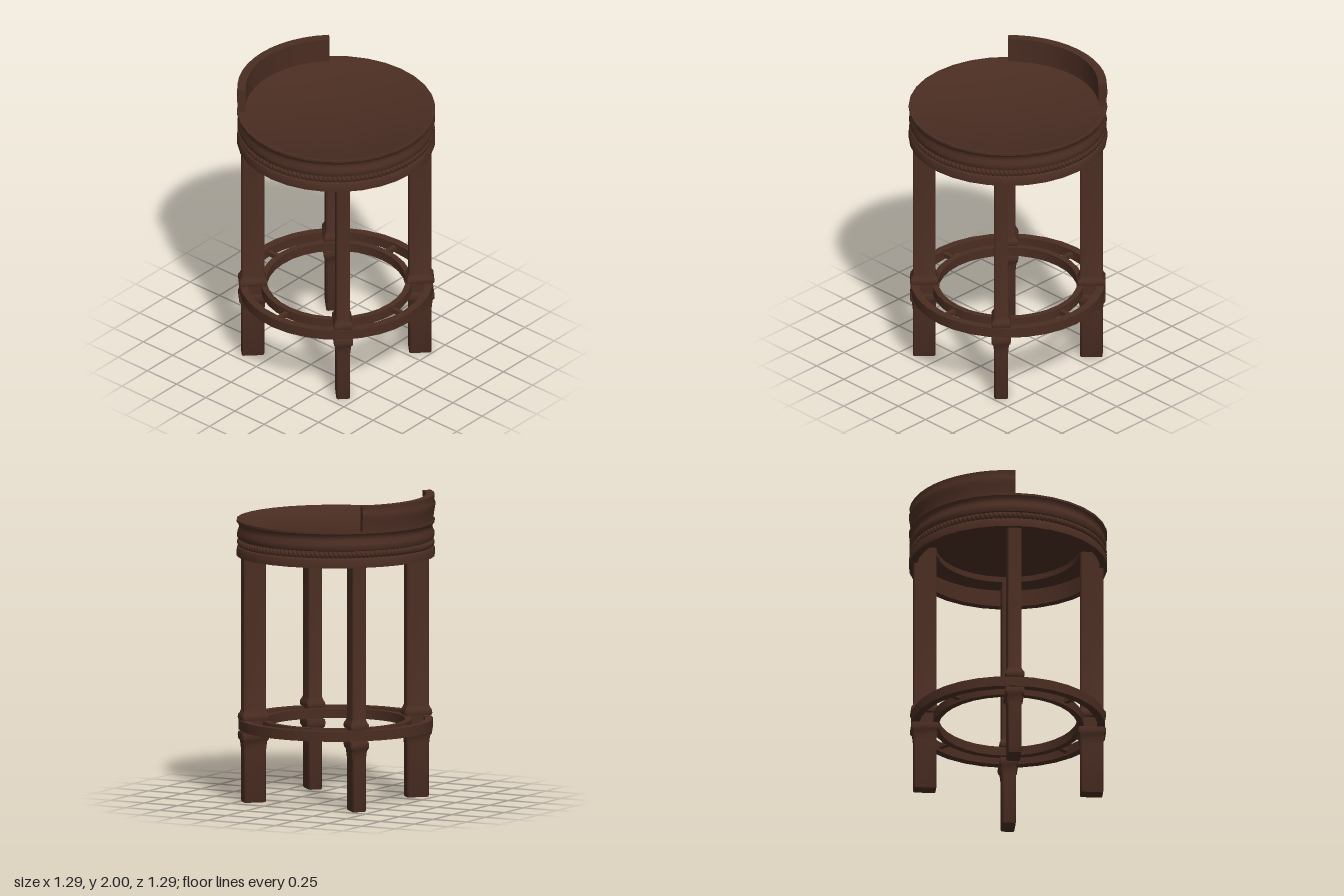
import * as THREE from 'three';
import { toCreasedNormals, mergeGeometries } from 'three/addons/utils/BufferGeometryUtils.js';

const wood = new THREE.MeshStandardMaterial({ color: 0x4a2d22, side: THREE.DoubleSide });
wood.name = 'dark brown wood';

const SIDES = 32;

function part(name, geometry) {
  const mesh = new THREE.Mesh(geometry, wood);
  mesh.name = name;
  return mesh;
}

const vectors = (points) => points.map(([r, y]) => new THREE.Vector2(r, y));

function turned(points, crease = 0.6) {
  return toCreasedNormals(new THREE.LatheGeometry(vectors(points), SIDES), crease);
}

// Chamfered rectangular sections stacked by [height, outward offset]
function loft(length, width, chamfer, sections) {
  const pos = [], index = [];
  for (const [y, d] of sections) {
    const a = length / 2 + d, b = width / 2 + d, c = chamfer;
    const ring = [[a, b - c], [a - c, b], [c - a, b], [-a, b - c],
      [-a, c - b], [c - a, -b], [a - c, -b], [a, c - b]];
    for (const [x, z] of ring) pos.push(x, y, z);
  }
  for (let s = 0; s < sections.length - 1; s++) {
    for (let i = 0; i < 8; i++) {
      const a = s * 8 + i, b = s * 8 + (i + 1) % 8;
      index.push(a, a + 8, b, b, a + 8, b + 8);
    }
  }
  const top = (sections.length - 1) * 8;
  for (let i = 1; i < 7; i++) {
    index.push(0, i, i + 1);
    index.push(top, top + i + 1, top + i);
  }
  const geometry = new THREE.BufferGeometry();
  geometry.setAttribute('position', new THREE.Float32BufferAttribute(pos, 3));
  geometry.setIndex(index);
  return toCreasedNormals(geometry, 0.6);
}

// Round seat with moulded edge, thin apron and a stepped recess underneath
function seat() {
  return part('seat', turned([
    [0, 1.75], [0.465, 1.75], [0.465, 1.712], [0.595, 1.712], [0.595, 1.60],
    [0.643, 1.60], [0.643, 1.645], [0.636, 1.658], [0.624, 1.662], [0.624, 1.708],
    [0.634, 1.712], [0.641, 1.73], [0.64, 1.75], [0.63, 1.775], [0.627, 1.79],
    [0.632, 1.808], [0.643, 1.822], [0.643, 1.836], [0.622, 1.836], [0.615, 1.832], [0, 1.832],
  ]));
}

// Twisted rope moulding made of slanted beads
function rope() {
  const beads = [], count = 130;
  for (let i = 0; i < count; i++) {
    const bead = new THREE.SphereGeometry(1, 7, 5);
    bead.scale(0.017, 0.025, 0.016);
    bead.rotateZ(0.5);
    bead.translate(0, 1.685, 0.624);
    bead.rotateY((i / count) * Math.PI * 2);
    beads.push(bead);
  }
  return part('ropeMoulding', mergeGeometries(beads));
}

// Low curved back covering the rear quarter, closed at both ends
function backrest() {
  const group = new THREE.Group();
  group.name = 'backrest';
  const profile = [[0.588, 1.825], [0.634, 1.825], [0.634, 1.86], [0.639, 1.895], [0.644, 1.925],
    [0.644, 1.95], [0.637, 1.965], [0.64, 2.0], [0.584, 2.0]];
  const start = Math.PI * 0.75, sweep = Math.PI / 2;
  const wall = new THREE.LatheGeometry(vectors([...profile, profile[0]]), 12, start, sweep);
  group.add(part('backrestWall', toCreasedNormals(wall, 0.6)));
  for (const angle of [start, start + sweep]) {
    const cap = new THREE.ShapeGeometry(new THREE.Shape(vectors(profile)));
    cap.rotateY(angle - Math.PI / 2);
    group.add(part('backrestEnd', cap));
  }
  return group;
}

// Legs set radially, with collars above and below the foot ring
function legs() {
  const group = new THREE.Group();
  group.name = 'legs';
  const geometry = loft(0.147, 0.09, 0.008, [
    [0, -0.003], [0.008, 0], [0.34, 0], [0.40, 0.006], [0.415, 0.016], [0.44, 0.018], [0.46, 0.014],
    [0.462, 0], [0.535, 0], [0.537, 0.014], [0.55, 0.018], [0.57, 0.016],
    [0.585, 0.007], [0.605, 0], [1.715, 0],
  ]);
  const places = [['frontLeftLeg', 0.353, 0.412], ['frontRightLeg', -0.381, 0.385],
    ['backLeftLeg', 0.392, -0.372], ['backRightLeg', -0.381, -0.385]];
  for (const [name, x, z] of places) {
    const leg = part(name, geometry);
    leg.position.set(x, 0, z);
    leg.rotation.y = -Math.atan2(Math.sign(z), Math.sign(x));
    group.add(leg);
  }
  return group;
}

// Two concentric bands joined by four short spokes
function footRest() {
  const group = new THREE.Group();
  group.name = 'footRest';
  const band = (inner, outer, low, high) => turned([
    [inner, low], [outer, low], [outer, high], [inner, high], [inner, low]]);
  group.add(part('outerRing', band(0.58, 0.63, 0.465, 0.532)));
  group.add(part('innerRing', band(0.45, 0.49, 0.468, 0.53)));
  for (let i = 0; i < 4; i++) {
    const spoke = new THREE.BoxGeometry(0.12, 0.03, 0.03);
    spoke.translate(0.535, 0.5, 0);
    spoke.rotateY(i * Math.PI / 2);
    group.add(part('spoke', spoke));
  }
  return group;
}

export function createModel() {
  const model = new THREE.Group();
  model.name = 'barStool';
  model.add(seat(), rope(), backrest(), legs(), footRest());
  return model;
}
